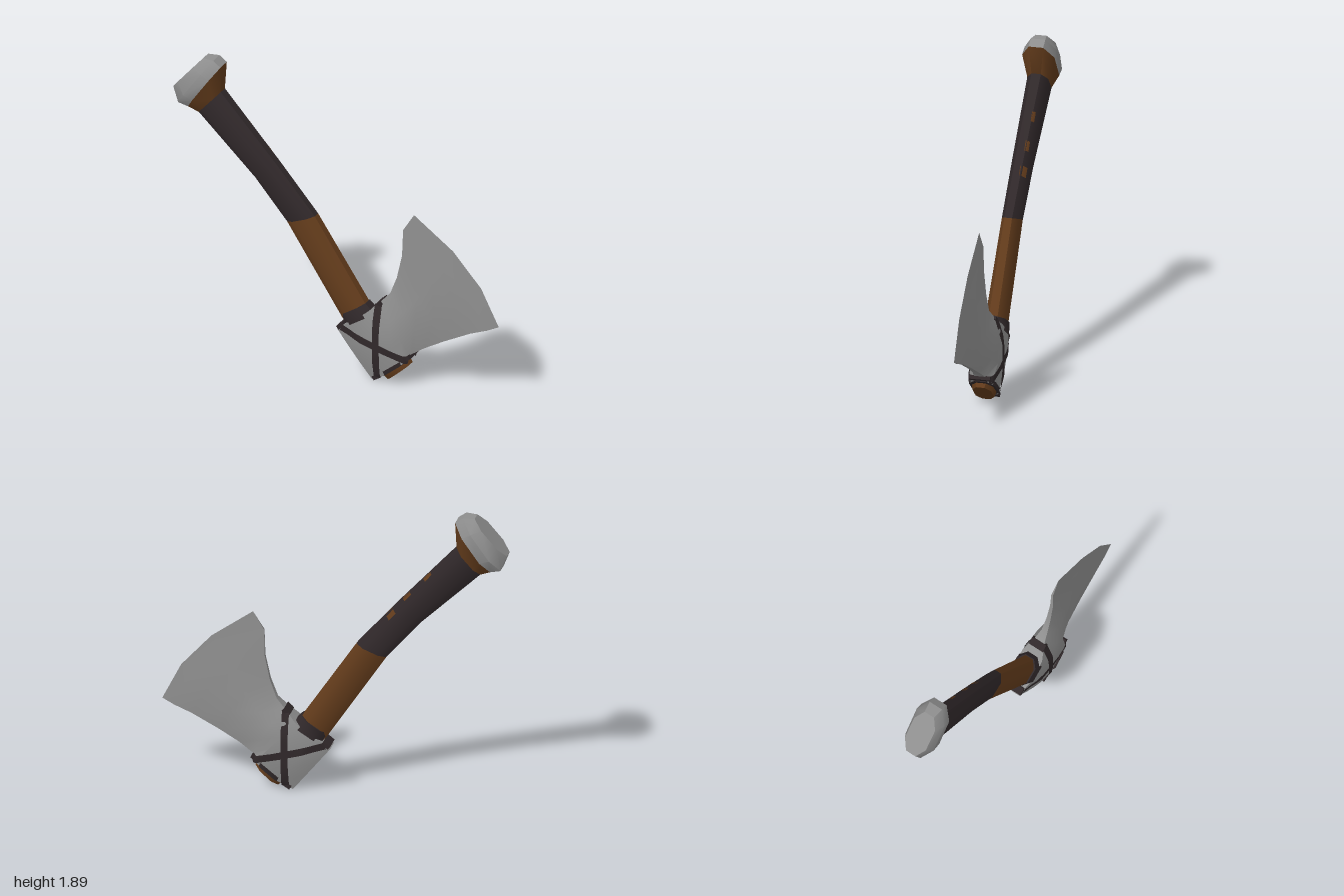
import * as THREE from 'three';
import { toCreasedNormals } from 'three/addons/utils/BufferGeometryUtils.js';

const YAW = 0.367;
const STRETCH = 1 / Math.cos(YAW); // profile x -> distance along the axe's own plane

const mat = (name, color, side = THREE.FrontSide) => {
  const m = new THREE.MeshStandardMaterial({ color, side });
  m.name = name;
  return m;
};

const vec = ([x, y], z = 0) => new THREE.Vector3(x * STRETCH, y, z);

// Skin a list of equal-length rings and close both ends
function loft(rings, crease) {
  const pos = [];
  const tri = (...p) => p.forEach(v => pos.push(v.x, v.y, v.z));
  const n = rings[0].length;
  for (let i = 0; i < rings.length - 1; i++) {
    for (let k = 0; k < n; k++) {
      const a = rings[i][k], b = rings[i][(k + 1) % n];
      const c = rings[i + 1][k], d = rings[i + 1][(k + 1) % n];
      tri(a, b, c);
      tri(b, d, c);
    }
  }
  const cap = (ring, flip) => {
    const mid = ring.reduce((s, p) => s.add(p), new THREE.Vector3()).divideScalar(n);
    ring.forEach((p, k) => {
      const q = ring[(k + 1) % n];
      if (flip) tri(mid, q, p); else tri(mid, p, q);
    });
  };
  cap(rings[0], true);
  cap(rings[rings.length - 1], false);
  const geo = new THREE.BufferGeometry();
  geo.setAttribute('position', new THREE.Float32BufferAttribute(pos, 3));
  return toCreasedNormals(geo, crease);
}

// Eight-sided section between two profile points, with half thickness w
const OCT = [[1, -0.45], [1, 0.45], [0.5, 1], [-0.5, 1], [-1, 0.45], [-1, -0.45], [-0.5, -1], [0.5, -1]];
function shaftRing([A, B, w]) {
  const a = vec(A), b = vec(B);
  const mid = a.clone().add(b).multiplyScalar(0.5);
  const half = a.sub(b).multiplyScalar(0.5);
  return OCT.map(([s, t]) => mid.clone().addScaledVector(half, s).setZ(t * w));
}

// Blade section: top and bottom points, bulge forward, thickness at edges and middle
function headRing([T, B, bulge, wEnd, wMid]) {
  const side = [0, 1 / 3, 2 / 3, 1].map((t, i) => {
    const inner = i === 1 || i === 2;
    const push = inner ? bulge : 0;
    const p = [T[0] + (B[0] - T[0]) * t + push, T[1] + (B[1] - T[1]) * t + push * 0.35];
    return vec(p, inner ? wMid : wEnd);
  });
  return [...side, ...side.slice().reverse().map(p => p.clone().setZ(-p.z))];
}

// Thin strip laid on a target's surface, seen along dir
function drape(target, from, to, width, dir, lift = 0.006) {
  const ray = new THREE.Raycaster();
  const along = to.clone().sub(from);
  const across = along.clone().cross(dir).normalize().multiplyScalar(width / 2);
  const N = 24, pos = [], idx = [];
  let depth = -0.04;
  for (let i = 0; i <= N; i++) {
    for (let j = -1; j <= 1; j++) {
      const p = from.clone().addScaledVector(along, i / N).addScaledVector(across, j);
      const start = p.clone().addScaledVector(dir, -1);
      ray.set(start, dir);
      const hit = ray.intersectObject(target)[0];
      if (hit) depth = hit.distance - 1;
      p.addScaledVector(dir, depth - lift);
      pos.push(p.x, p.y, p.z);
      if (i < N && j < 1) {
        const q = i * 3 + j + 1;
        idx.push(q, q + 3, q + 1, q + 1, q + 3, q + 4);
      }
    }
  }
  const geo = new THREE.BufferGeometry();
  geo.setAttribute('position', new THREE.Float32BufferAttribute(pos, 3));
  // Face the strip against the viewing direction
  const [a, b, c] = [0, 1, 2].map(k => new THREE.Vector3().fromArray(pos, idx[k] * 3));
  if (b.sub(a).cross(c.sub(a)).dot(dir) > 0) idx.reverse();
  geo.setIndex(idx);
  geo.computeVertexNormals();
  return geo;
}

export function createModel() {
  const wood = mat('wood', 0x623b1b);
  const leather = mat('darkLeather', 0x30282a);
  const strapMat = mat('strapLeather', 0x30282a, THREE.DoubleSide);
  const steel = mat('steel', 0x8e8e8e);

  const model = new THREE.Group();
  model.name = 'axe';
  const axe = new THREE.Group();
  axe.name = 'axeBody';
  axe.rotation.y = YAW;
  axe.position.z = -0.026;
  model.add(axe);

  const add = (name, geo, material) => {
    const m = new THREE.Mesh(geo, material);
    m.name = name;
    axe.add(m);
    return m;
  };
  const shaft = (name, rings, material, crease = 0.8) =>
    add(name, loft(rings.map(shaftRing), crease), material);

  // Pommel: steel cap over a flared wooden neck
  const capEdge = [[-0.70, 1.86], [-0.90, 1.56], 0.1];
  const neck = [[-0.705, 1.69], [-0.84, 1.53], 0.065];
  shaft('pommelCap', [
    [[-0.81, 1.895], [-0.995, 1.67], 0.075],
    [[-0.745, 1.895], [-0.96, 1.575], 0.1],
    capEdge,
  ], steel, 0.6);
  shaft('pommelNeck', [capEdge, neck], wood);

  // Handle: leather grip above bare wood
  const gripEnd = [[-0.13, 0.99], [-0.30, 0.92], 0.052];
  const grip = shaft('leatherGrip', [neck, [[-0.37, 1.29], [-0.495, 1.17], 0.056], gripEnd], leather);
  shaft('handle', [
    gripEnd,
    [[0.20, 0.45], [0.04, 0.36], 0.06],
    [[0.43, 0.16], [0.29, 0.04], 0.068],
    [[0.45, 0.13], [0.32, 0.01], 0.058],
  ], wood);

  // Worn spots on the grip, on its upper edge and back
  const up = new THREE.Vector3(-0.55, -0.6, 0.58).normalize();
  [[-0.33, 1.21, 0.05], [-0.42, 1.34, 0.03], [-0.54, 1.48, 0.025]].forEach(([x, y, w]) => {
    const c = vec([x, y], -0.03);
    const d = new THREE.Vector3(0.02, -0.025, 0);
    add('wornSpot', drape(grip, c.clone().sub(d), c.clone().add(d), w, up, 0.003), wood);
  });

  // Head: socket around the handle flowing into a flared blade
  const head = add('axeHead', loft([
    [[0.015, 0.29], [0.23, 0.0], 0, 0.045, 0.05],
    [[0.10, 0.36], [0.31, 0.05], 0, 0.07, 0.085],
    [[0.21, 0.445], [0.445, 0.165], 0, 0.07, 0.085],
    [[0.28, 0.52], [0.46, 0.205], 0.01, 0.035, 0.07],
    [[0.33, 0.575], [0.54, 0.26], 0.02, 0.02, 0.045],
    [[0.37, 0.69], [0.66, 0.33], 0.035, 0.014, 0.03],
    [[0.40, 0.84], [0.82, 0.415], 0.05, 0.01, 0.021],
    [[0.405, 1.01], [0.92, 0.455], 0.06, 0.006, 0.012],
    [[0.47, 1.12], [0.99, 0.49], 0.065, 0, 0],
  ].map(headRing), 0.75), steel);

  // Crossed straps on both cheeks
  const inward = new THREE.Vector3(0, 0, -1);
  const straps = [
    [[0.045, 0.31], [0.46, 0.175]],
    [[0.272, 0.505], [0.27, 0.025]],
  ];
  straps.forEach(([a, b]) => {
    const geo = drape(head, vec(a), vec(b), 0.045, inward);
    add('strapFront', geo, strapMat);
    add('strapBack', geo.clone().scale(1, 1, -1), strapMat);
  });

  // Strap turns over the edges of the head
  [[0.04, 0.312, 0.055, 0.66], [0.27, 0.5, 0.05, 0.75], [0.445, 0.185, 0.065, 0.6], [0.262, 0.025, 0.062, 0.55]]
    .forEach(([x, y, w, tilt]) => {
      const geo = new THREE.BoxGeometry(0.05, 0.025, 2 * w).rotateZ(tilt);
      const p = vec([x, y]);
      add('strapTurn', geo.translate(p.x, p.y, 0), leather);
    });

  // Leather bindings above and below the socket
  shaft('upperBinding', [
    [[0.185, 0.485], [0.035, 0.385], 0.068],
    [[0.235, 0.43], [0.07, 0.32], 0.078],
  ], leather);
  shaft('lowerBinding', [
    [[0.445, 0.19], [0.275, 0.05], 0.083],
    [[0.452, 0.168], [0.285, 0.025], 0.08],
  ], leather);

  return model;
}
